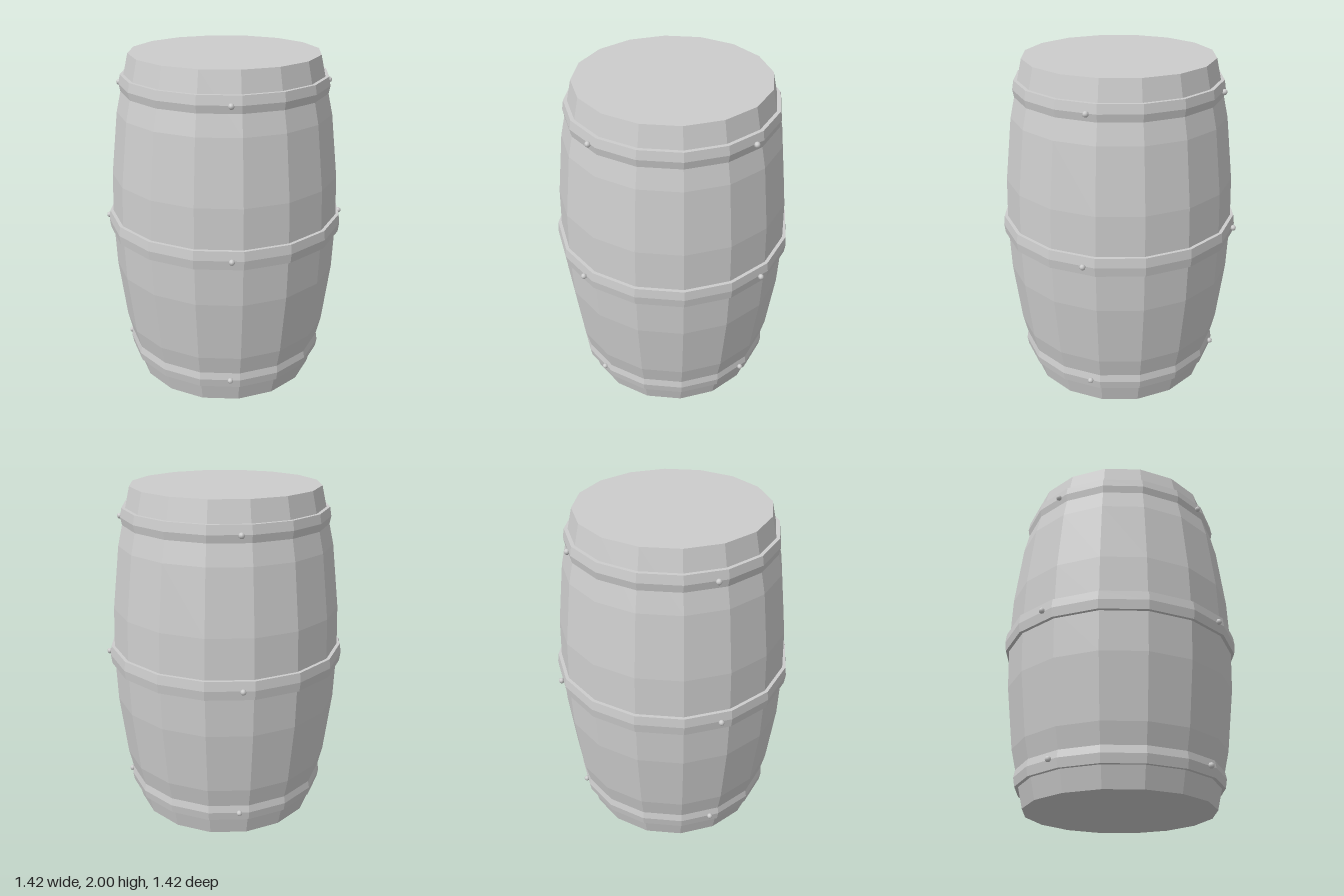
import * as THREE from 'three';

const SIDES = 16;

// Faceted solid of revolution; profile runs upward along the outside
function faceted(profile) {
  const points = profile.map(([r, y]) => new THREE.Vector2(r, y));
  const geometry = new THREE.LatheGeometry(points, SIDES).toNonIndexed();
  geometry.computeVertexNormals();
  return geometry;
}

// Mirror a profile about mid-height, keeping it running upward outside
const flip = (profile) => profile.map(([r, y]) => [r, 2 - y]).reverse();

export function createModel() {
  const model = new THREE.Group();
  model.name = 'barrel';
  const grey = new THREE.MeshStandardMaterial({ color: 0xcccccc });
  grey.name = 'plain grey';

  const add = (name, geometry, parent = model) => {
    const mesh = new THREE.Mesh(geometry, grey);
    mesh.name = name;
    parent.add(mesh);
    return mesh;
  };

  // Bulging body with flat ends
  add('body', faceted([
    [0, 0], [0.555, 0], [0.632, 0.335], [0.676, 0.71], [0.686, 1],
    [0.676, 1.29], [0.632, 1.665], [0.555, 2], [0, 2],
  ]));

  // Hoops: end hoops taper into the body, the middle one bulges slightly
  const endHoop = [[0.602, 1.77], [0.613, 1.828], [0.604, 1.88], [0.57, 1.88]];
  const hoops = [
    { name: 'topHoop', profile: endHoop, y: 1.826, r: 0.612 },
    {
      name: 'middleHoop', y: 1, r: 0.713,
      profile: [[0.67, 0.945], [0.704, 0.945], [0.711, 1], [0.704, 1.055], [0.67, 1.055]],
    },
    { name: 'bottomHoop', profile: flip(endHoop), y: 0.174, r: 0.612 },
  ];

  const rivet = new THREE.SphereGeometry(0.017, 8, 6);
  for (const { name, profile, y, r } of hoops) {
    const group = new THREE.Group();
    group.name = name;
    model.add(group);
    add(name + 'Band', faceted(profile), group);
    // Four rivets a quarter turn apart
    for (let i = 0; i < 4; i++) {
      const a = 0.298 + i * Math.PI / 2;
      add('rivet', rivet, group).position.set(r * Math.sin(a), y, r * Math.cos(a));
    }
  }
  return model;
}
